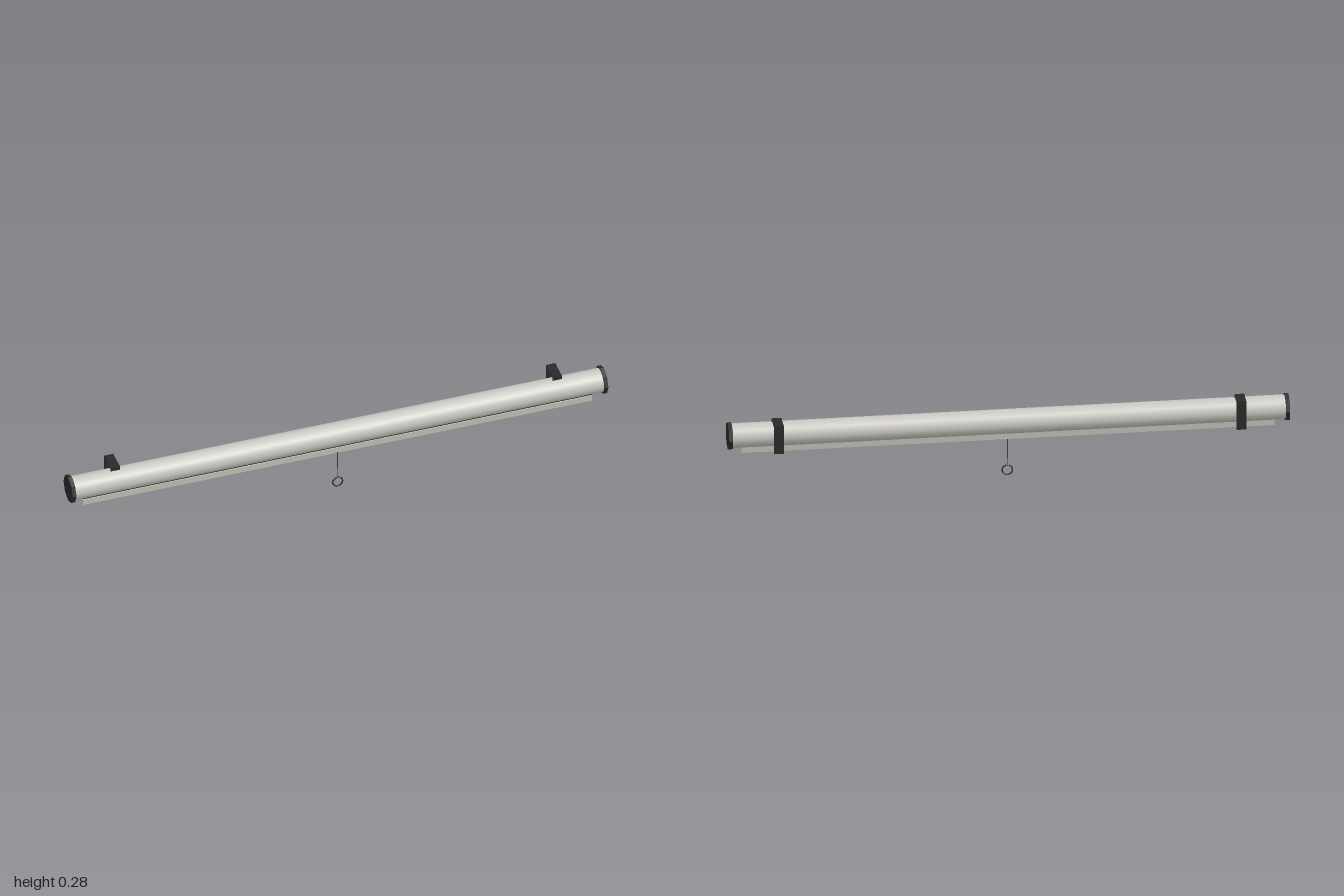
import * as THREE from 'three';

export function createModel() {
  const model = new THREE.Group();
  const mat = (name, color) => {
    const m = new THREE.MeshStandardMaterial({ color });
    m.name = name;
    return m;
  };
  const casingGrey = mat('casingGrey', 0xcbc9c2);
  const barGrey = mat('barGrey', 0xc4c2b8);
  const darkPlastic = mat('darkPlastic', 0x2b2b2b);
  const slotBlack = mat('slotBlack', 0x141414);
  const cordGrey = mat('cordGrey', 0x444444);
  const capPlastic = darkPlastic.clone();
  capPlastic.flatShading = true;

  const add = (name, geometry, material, x, y, z, parent = model) => {
    const mesh = new THREE.Mesh(geometry, material);
    mesh.name = name;
    mesh.position.set(x, y, z);
    parent.add(mesh);
    return mesh;
  };
  const box = (w, h, d) => new THREE.BoxGeometry(w, h, d);
  const axisY = 0.219, axisZ = 0.009;

  // Roller casing along x
  add('casing', new THREE.CylinderGeometry(0.044, 0.044, 1.98, 16).rotateZ(Math.PI / 2),
    casingGrey, 0, axisY, axisZ);

  // Slot under the casing, rolled fabric edge and bottom bar
  add('slot', box(1.9, 0.006, 0.014), slotBlack, 0, 0.176, 0.018);
  add('fabricEdge', box(1.88, 0.012, 0.004), barGrey, 0, 0.172, 0.019);
  add('bottomBar', box(1.9, 0.023, 0.011), barGrey, 0, 0.1585, 0.0195);

  for (const side of [-1, 1]) {
    // Eight-sided end cap
    add(side > 0 ? 'leftEndCap' : 'rightEndCap',
      new THREE.CylinderGeometry(0.051, 0.051, 0.014, 8).rotateZ(Math.PI / 2),
      capPlastic, side * 0.993, axisY, axisZ);

    // Wall bracket: back plate, top arm and front lip
    const bracket = new THREE.Group();
    bracket.name = side > 0 ? 'leftBracket' : 'rightBracket';
    bracket.position.x = side * 0.825;
    add('backPlate', box(0.035, 0.109, 0.004), darkPlastic, 0, 0.2245, -0.058, bracket);
    add('topArm', box(0.035, 0.004, 0.072), darkPlastic, 0, 0.274, -0.022, bracket);
    add('frontLip', box(0.035, 0.014, 0.003), darkPlastic, 0, 0.267, 0.0125, bracket);
    model.add(bracket);
  }

  // Pull cord and ring
  const cordPath = new THREE.LineCurve3(
    new THREE.Vector3(0, 0.152, 0.0255), new THREE.Vector3(0, 0.038, 0.028));
  add('pullCord', new THREE.TubeGeometry(cordPath, 1, 0.0014, 6), cordGrey, 0, 0, 0);
  add('pullRing', new THREE.TorusGeometry(0.0185, 0.0024, 8, 24), darkPlastic, 0, 0.0209, 0.028);

  return model;
}
